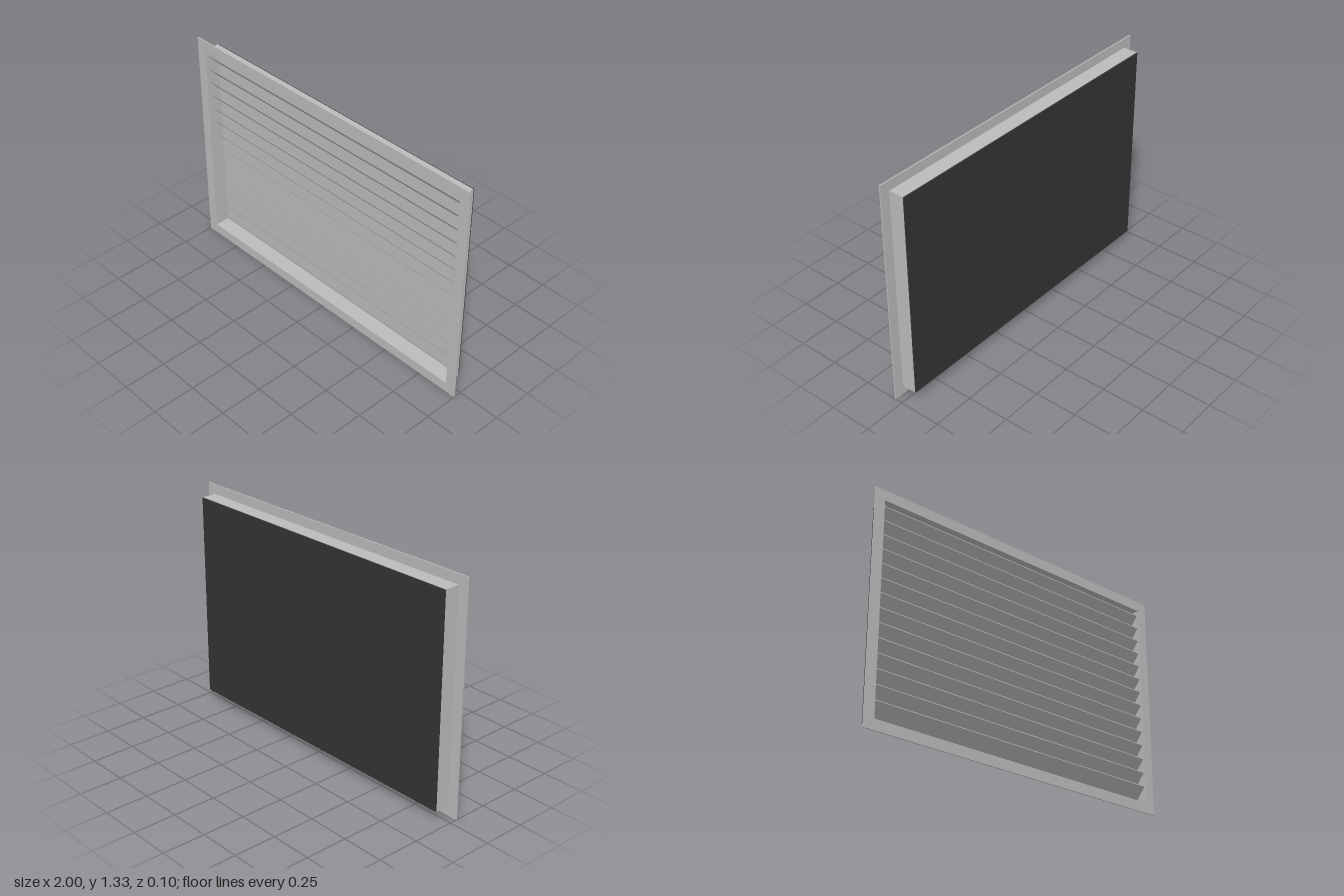
import * as THREE from 'three';

const W = 2, H = 1.333;          // flange outer size
const IW = 1.885, IH = 1.22;     // sleeve outer size
const CY = H / 2;
const WALL = 0.004;

// Rectangular ring facing +z, starting at z
function ring(w, h, iw, ih, depth, z, material, name) {
  const rect = (Type, a, b) => new Type([
    new THREE.Vector2(-a / 2, -b / 2), new THREE.Vector2(a / 2, -b / 2),
    new THREE.Vector2(a / 2, b / 2), new THREE.Vector2(-a / 2, b / 2),
  ]);
  const shape = rect(THREE.Shape, w, h);
  shape.holes.push(rect(THREE.Path, iw, ih));
  const mesh = new THREE.Mesh(
    new THREE.ExtrudeGeometry(shape, { depth, bevelEnabled: false }), material);
  mesh.position.set(0, CY, z);
  mesh.name = name;
  return mesh;
}

function plate(w, h, d, z, material, name) {
  const mesh = new THREE.Mesh(new THREE.BoxGeometry(w, h, d), material);
  mesh.position.set(0, CY, z);
  mesh.name = name;
  return mesh;
}

export function createModel() {
  const group = new THREE.Group();
  group.name = 'louvreVent';
  const metal = new THREE.MeshStandardMaterial({ color: 0xb9bcbb });
  metal.name = 'light grey metal';
  const dark = new THREE.MeshStandardMaterial({ color: 0x343434 });
  dark.name = 'dark backing';

  // Wall flange and the sleeve behind it
  const iw = IW - 2 * WALL, ih = IH - 2 * WALL;
  group.add(ring(W, H, iw, ih, 0.007, 0.043, metal, 'flange'));
  group.add(ring(IW, IH, iw, ih, 0.086, -0.043, metal, 'sleeve'));

  // Dark back panel with a light inner face
  group.add(plate(IW - 0.004, IH - 0.006, 0.007, -0.0465, dark, 'backPanel'));
  group.add(plate(iw, ih, 0.003, -0.0415, metal, 'innerPanel'));

  // Slanted slats: high at the front, low at the back
  const zFront = 0.04, zBack = -0.02, drop = 0.068, t = 0.005;
  const section = new THREE.Shape([
    new THREE.Vector2(-zFront, 0), new THREE.Vector2(-zFront, -t),
    new THREE.Vector2(-zBack, -drop - t), new THREE.Vector2(-zBack, -drop),
  ]);
  const slatGeometry = new THREE.ExtrudeGeometry(section, { depth: iw, bevelEnabled: false });
  slatGeometry.rotateY(Math.PI / 2).translate(-iw / 2, 0, 0);
  const slats = new THREE.Group();
  slats.name = 'slats';
  for (let i = 0; i < 14; i++) {
    const slat = new THREE.Mesh(slatGeometry, metal);
    slat.name = 'slat';
    slat.position.y = 1.247 - i * 0.0833;
    slats.add(slat);
  }
  group.add(slats);
  return group;
}
